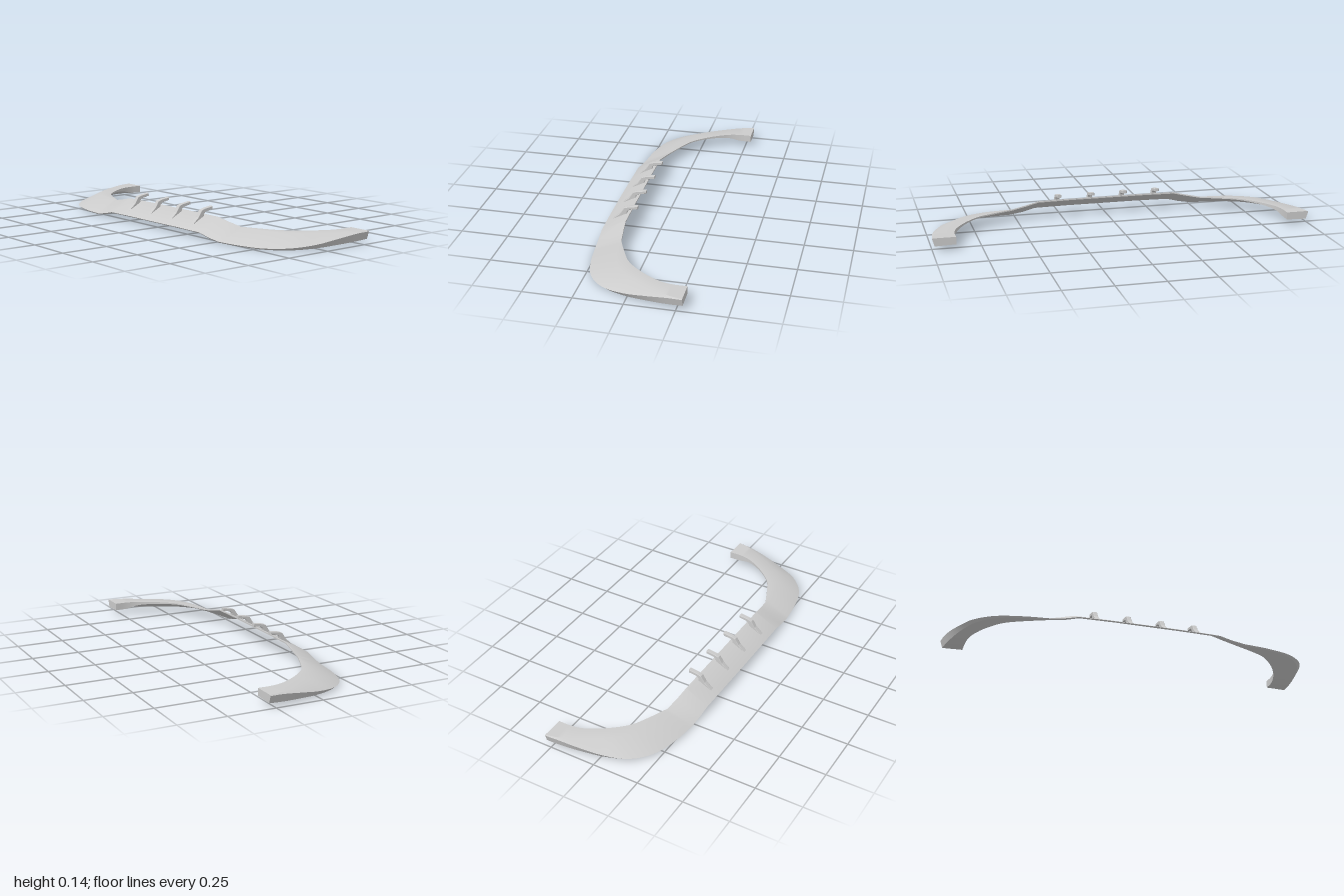
import * as THREE from 'three';
import { toCreasedNormals } from 'three/addons/utils/BufferGeometryUtils.js';

const V = (p) => new THREE.Vector3(p[0], p[1], p[2]);

// Cross-section stations from the centre out to the tip of one arm.
// Each row: bottom edge, outer lip, top crease, inner top edge, inner lower edge.
const straight = [
  [[0, .03, .277], [0, .035, .283], [0, .099, .16], [0, .099, .153], [0, .093, .153]],
  [[.20, .03, .277], [.20, .035, .282], [.20, .099, .16], [.20, .099, .153], [.20, .093, .153]],
  [[.38, .028, .275], [.38, .033, .28], [.38, .097, .159], [.38, .097, .152], [.38, .091, .152]],
  [[.45, .011, .271], [.45, .017, .277], [.45, .082, .15], [.45, .082, .145], [.45, .076, .144]],
  [[.52, .001, .268], [.52, .007, .274], [.53, .067, .139], [.53, .067, .135], [.53, .061, .134]],
];
const arm = [
  straight[4],
  [[.66, .001, .25], [.665, .007, .256], [.67, .067, .122], [.63, .067, .092], [.63, .061, .091]],
  [[.79, .001, .207], [.80, .009, .214], [.77, .067, .085], [.72, .067, .045], [.72, .06, .045]],
  [[.88, .002, .125], [.895, .015, .13], [.84, .067, .03], [.785, .067, -.02], [.785, .058, -.02]],
  [[.93, .005, .015], [.945, .026, .017], [.895, .067, -.05], [.832, .067, -.085], [.832, .054, -.085]],
  [[.96, .012, -.10], [.975, .045, -.10], [.94, .067, -.13], [.868, .067, -.155], [.868, .045, -.155]],
  [[.98, .019, -.21], [.993, .060, -.21], [.98, .067, -.21], [.88, .067, -.215], [.88, .03, -.215]],
  [[.988, .025, -.281], [1, .063, -.281], [.997, .067, -.281], [.88, .067, -.281], [.88, .028, -.281]],
];

function stationLoops() {
  const steps = 42;
  const tracks = arm[0].map((_, k) => new THREE.CatmullRomCurve3(arm.map((s) => V(s[k]))));
  const half = straight.slice(0, -1).map((s) => s.map(V));
  for (let i = 0; i <= steps; i++) half.push(tracks.map((c) => c.getPoint(i / steps)));
  const mirrored = half.slice(1).reverse()
    .map((s) => s.map((p) => new THREE.Vector3(-p.x, p.y, p.z)));
  return [...mirrored, ...half];
}

// Skins the loops from left tip to right tip and caps both ends.
function loft(loops) {
  const n = loops[0].length;
  const positions = loops.flat().flatMap((p) => [p.x, p.y, p.z]);
  const index = [];
  for (let i = 0; i < loops.length - 1; i++) {
    for (let k = 0; k < n; k++) {
      const a = i * n + k, b = i * n + (k + 1) % n;
      index.push(a, a + n, b, b, a + n, b + n);
    }
  }
  const last = (loops.length - 1) * n;
  for (let k = 1; k < n - 1; k++) {
    index.push(0, k, k + 1);
    index.push(last, last + k + 1, last + k);
  }
  const g = new THREE.BufferGeometry();
  g.setAttribute('position', new THREE.Float32BufferAttribute(positions, 3));
  g.setIndex(index);
  return toCreasedNormals(g, 0.5);
}

// Bent bracket, drawn in (z, y) and extruded across x.
function bracketGeometry() {
  const outline = [
    [.248, .05], [.205, .087], [.184, .12], [.165, .127], [.115, .135], [.115, .123],
    [.158, .115], [.171, .104], [.174, .088],
  ];
  const shape = new THREE.Shape(outline.map(([z, y]) => new THREE.Vector2(z, y)));
  const g = new THREE.ExtrudeGeometry(shape, {
    depth: .016, bevelEnabled: true, bevelThickness: .004, bevelSize: .002, bevelSegments: 2,
  });
  g.translate(0, 0, -.008);
  g.rotateY(-Math.PI / 2);
  return g;
}

export function createModel() {
  const model = new THREE.Group();
  model.name = 'frontLip';
  const material = new THREE.MeshStandardMaterial({ color: 0xcccccc, side: THREE.DoubleSide });

  // Swept lip with wrap-around arms
  const lip = new THREE.Mesh(loft(stationLoops()), material);
  lip.name = 'lipBlade';
  model.add(lip);

  // Four mounting brackets
  const bracket = bracketGeometry();
  for (const x of [-.273, -.091, .091, .273]) {
    const mesh = new THREE.Mesh(bracket, material);
    mesh.name = 'mountingBracket';
    mesh.position.x = x;
    model.add(mesh);
  }
  return model;
}
